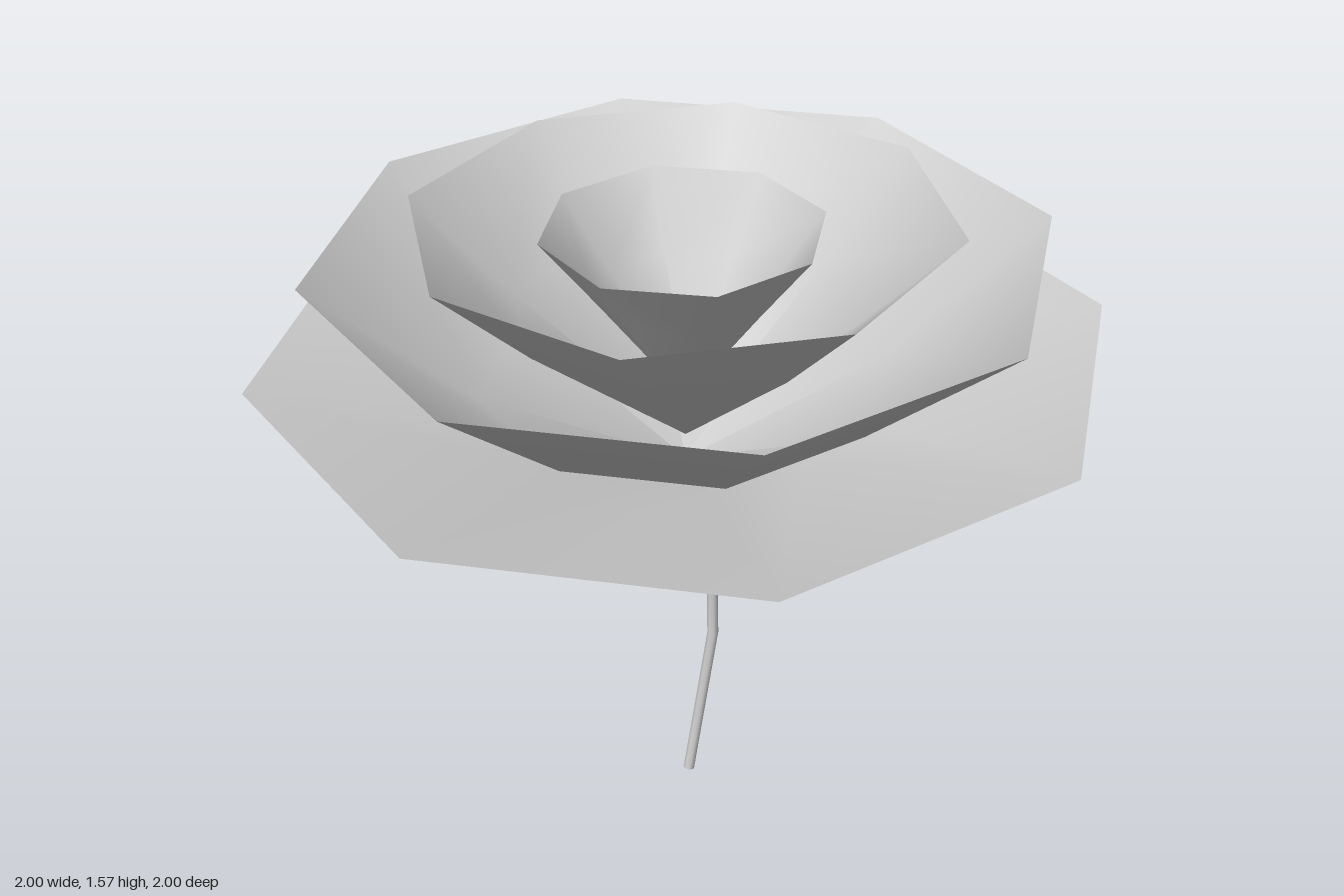
import * as THREE from 'three';

const grey = new THREE.MeshStandardMaterial({ color: 0xcccccc, side: THREE.DoubleSide });
grey.name = 'lightGrey';

// Open eight-sided bowl: tip, middle ring and rim, given as [radius, height]
function petalBowl(name, turnDegrees, profile) {
  const tip = profile[0][1];
  const points = profile.map(([r, y]) => new THREE.Vector2(r, y - tip));
  const geometry = new THREE.LatheGeometry(points, 8, THREE.MathUtils.degToRad(turnDegrees));
  const bowl = new THREE.Mesh(geometry, grey);
  bowl.name = name;
  bowl.position.y = tip;
  bowl.rotation.z = 0.02; // slight lean of the flower head
  return bowl;
}

// Thin stem with two bends, one ring of vertices at each point
function stem() {
  const group = new THREE.Group();
  group.name = 'stem';
  const path = new THREE.CatmullRomCurve3([
    new THREE.Vector3(-0.003, 0.003, 0.013),
    new THREE.Vector3(0.08, 0.39, 0.026),
    new THREE.Vector3(0.073, 0.67, 0.026),
    new THREE.Vector3(0, 0.94, 0.014),
  ]);
  path.getPointAt = path.getPoint;
  path.getTangentAt = path.getTangent;
  const stalk = new THREE.Mesh(new THREE.TubeGeometry(path, 3, 0.014, 8), grey);
  stalk.name = 'stalk';
  group.add(stalk);

  // Caps closing both ends
  [0, 1].forEach((t) => {
    const cap = new THREE.Mesh(new THREE.CircleGeometry(0.014, 8), grey);
    cap.name = t ? 'stalkTop' : 'stalkFoot';
    const outward = path.getTangent(t).multiplyScalar(t ? 1 : -1);
    cap.quaternion.setFromUnitVectors(new THREE.Vector3(0, 0, 1), outward);
    cap.position.copy(path.getPoint(t));
    group.add(cap);
  });
  return group;
}

export function createModel() {
  const model = new THREE.Group();
  model.name = 'flower';
  model.add(
    petalBowl('outerPetals', 2, [[0, 0.925], [0.315, 1.037], [1, 1.232]]),
    petalBowl('secondPetals', 2, [[0, 0.935], [0.48, 1.157], [0.857, 1.478]]),
    petalBowl('thirdPetals', 25, [[0, 1.0], [0.4, 1.336], [0.632, 1.562]]),
    petalBowl('innerPetals', 4, [[0, 1.1], [0.2, 1.37], [0.328, 1.537]]),
    stem(),
  );
  return model;
}
